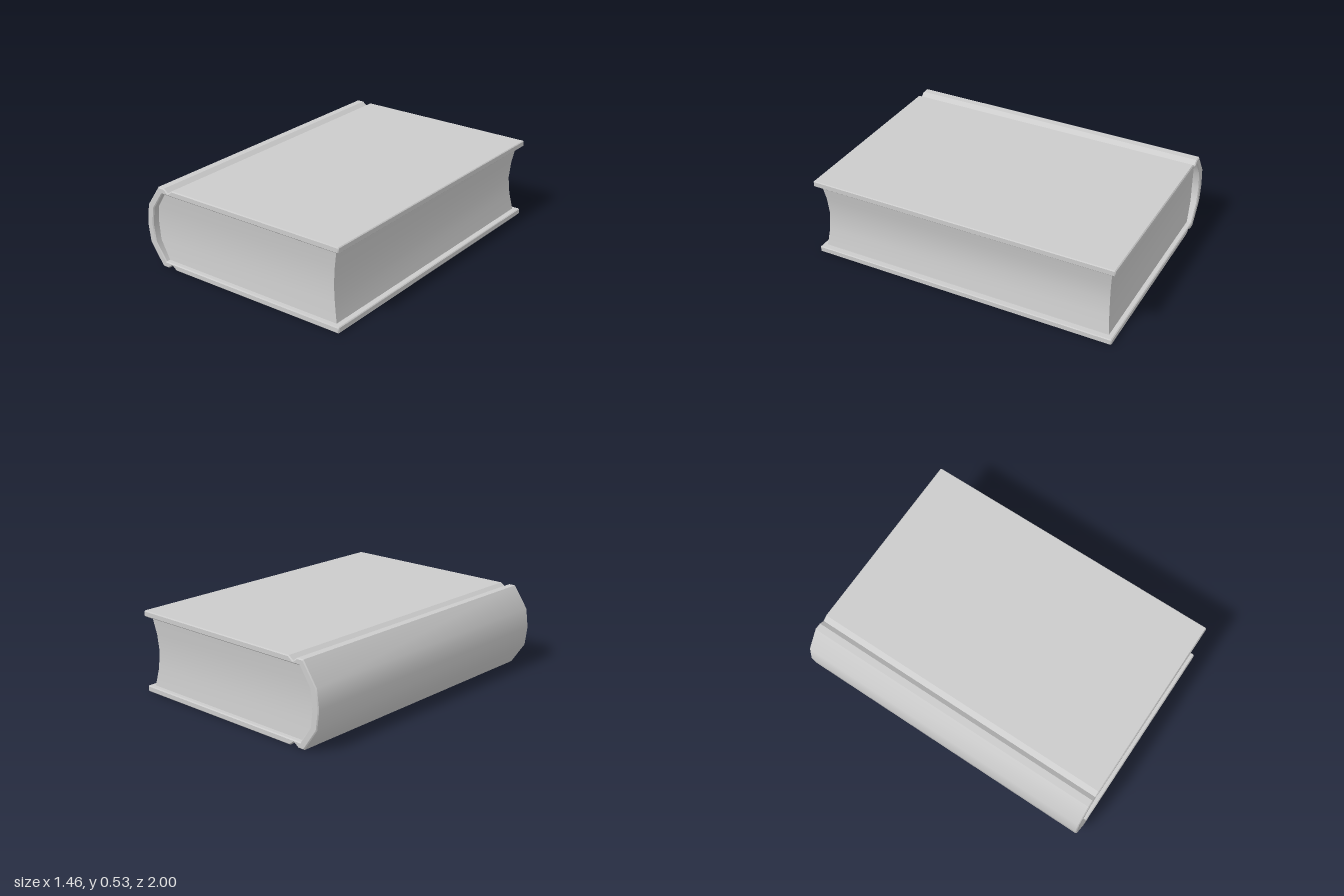
import * as THREE from 'three';
import { toCreasedNormals } from 'three/addons/utils/BufferGeometryUtils.js';

const TOP = 0.526;
const BEVEL = 0.006;
const mirror = (pts) => pts.map(([x, y]) => [x, TOP - y]).reverse();

// Hard cover: one C-shaped profile (boards, hinge grooves, rounded spine)
function coverGeometry() {
  const lowerOuter = [
    [-0.717, 0.14], [-0.62, 0], [-0.575, 0], [-0.543, 0.024], [-0.51, 0],
    [0.725, 0], [0.73, 0.005], [0.73, 0.034], [0.725, 0.039],
  ];
  const lowerInner = [[-0.592, 0.039], [-0.67, 0.152]];
  const lower = [...lowerOuter, ...lowerInner];
  const profile = [[-0.733, TOP / 2], ...lower, [-0.685, TOP / 2], ...mirror(lower)];
  const shape = new THREE.Shape(profile.map(([x, y]) => new THREE.Vector2(x, y)));
  const geometry = new THREE.ExtrudeGeometry(shape, {
    depth: 2 - 2 * BEVEL, bevelEnabled: true, bevelSegments: 1,
    bevelThickness: BEVEL, bevelSize: BEVEL, bevelOffset: -BEVEL,
  });
  geometry.translate(0, 0, -1 + BEVEL);
  return toCreasedNormals(geometry, 0.6);
}

// Page block: stacked rectangles, hollowed on three sides, rounded at the spine
function pagesGeometry() {
  // y, spine x, fore-edge x, half length
  const levels = [
    [0.039, -0.592, 0.692, 0.968], [0.152, -0.67, 0.67, 0.955],
    [TOP / 2, -0.685, 0.66, 0.95],
    [TOP - 0.152, -0.67, 0.67, 0.955], [TOP - 0.039, -0.592, 0.692, 0.968],
  ];
  const positions = [];
  const index = [];
  for (const [y, x0, x1, z] of levels) {
    positions.push(x0, y, z, x1, y, z, x1, y, -z, x0, y, -z);
  }
  for (let i = 0; i < levels.length - 1; i++) {
    for (let j = 0; j < 4; j++) {
      const a = i * 4 + j, b = i * 4 + (j + 1) % 4;
      index.push(a, b, b + 4, a, b + 4, a + 4);
    }
  }
  const t = (levels.length - 1) * 4;
  index.push(0, 2, 1, 0, 3, 2, t, t + 1, t + 2, t, t + 2, t + 3);
  const geometry = new THREE.BufferGeometry();
  geometry.setAttribute('position', new THREE.Float32BufferAttribute(positions, 3));
  geometry.setIndex(index);
  return toCreasedNormals(geometry, 0.9);
}

export function createModel() {
  const group = new THREE.Group();
  group.name = 'book';
  const material = new THREE.MeshStandardMaterial({ color: 0xcccccc });
  const parts = { cover: coverGeometry(), pages: pagesGeometry() };
  for (const [name, geometry] of Object.entries(parts)) {
    const mesh = new THREE.Mesh(geometry, material);
    mesh.name = name;
    group.add(mesh);
  }
  return group;
}
